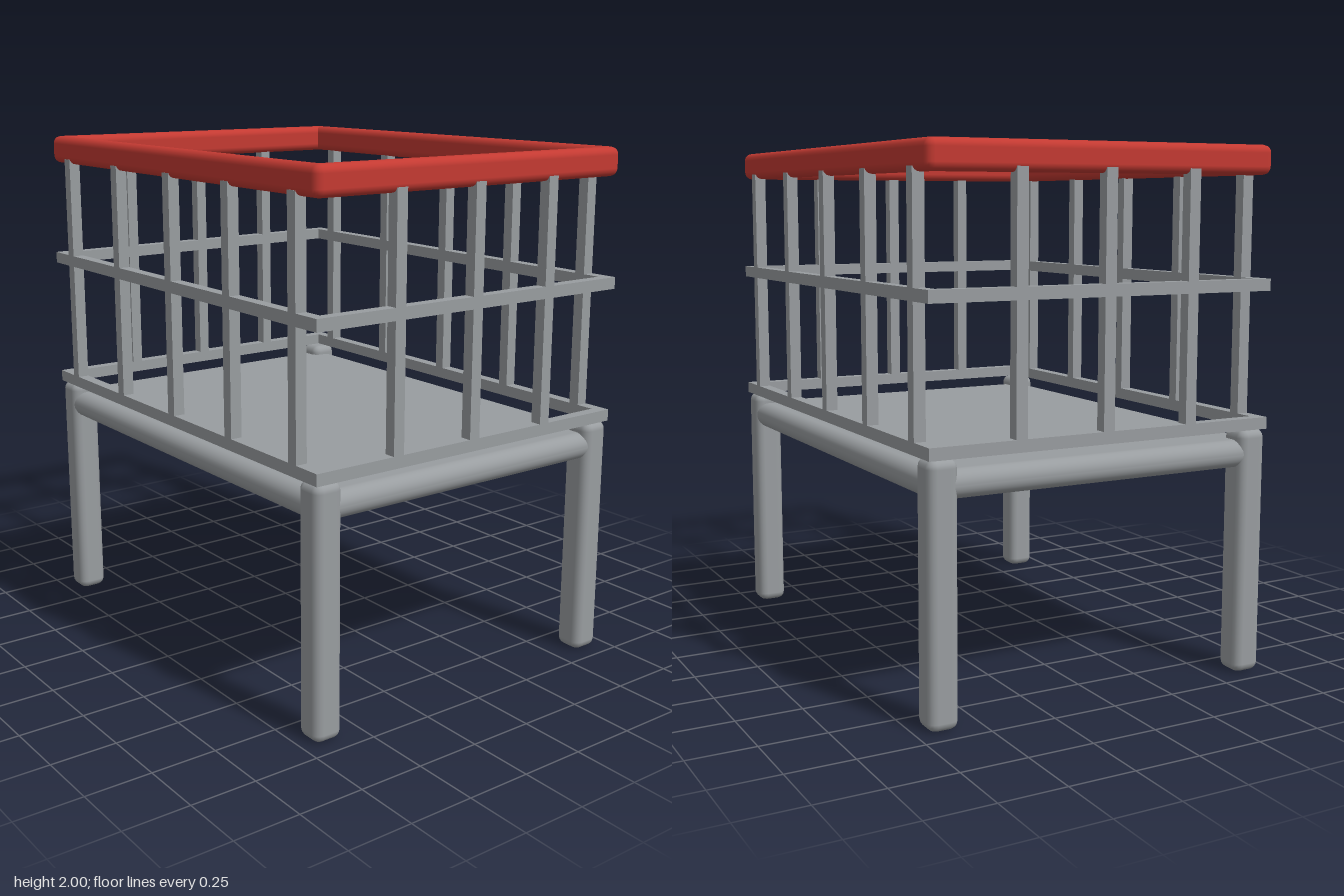
import * as THREE from 'three';
import { RoundedBoxGeometry } from 'three/addons/geometries/RoundedBoxGeometry.js';

const HX = 0.94, HZ = 0.705; // outer half sizes
const BAR = 0.045;           // cage bar thickness

export function createModel() {
  const steel = new THREE.MeshStandardMaterial({ color: 0x999da0 });
  steel.name = 'grey steel';
  const red = new THREE.MeshStandardMaterial({ color: 0xc43a32 });
  red.name = 'red rim';

  const model = new THREE.Group();
  model.name = 'basketStand';

  const group = (name) => {
    const g = new THREE.Group();
    g.name = name;
    model.add(g);
    return g;
  };
  const add = (parent, name, geometry, material, x, y, z) => {
    const mesh = new THREE.Mesh(geometry, material);
    mesh.name = name;
    mesh.position.set(x, y, z);
    parent.add(mesh);
  };
  const box = (w, h, d, r = 0) =>
    r ? new RoundedBoxGeometry(w, h, d, 2, r) : new THREE.BoxGeometry(w, h, d);

  // Four bars running round the outer edge
  const ring = (name, y, width, height, radius, material) => {
    const g = group(name);
    for (const s of [-1, 1]) {
      add(g, 'longBar', box(2 * HX, height, width, radius), material, 0, y, s * (HZ - width / 2));
      add(g, 'shortBar', box(width, height, 2 * HZ, radius), material, s * (HX - width / 2), y, 0);
    }
  };

  // Legs
  const legs = group('legs');
  const legGeo = box(0.115, 0.945, 0.115, 0.032);
  for (const sx of [-1, 1])
    for (const sz of [-1, 1])
      add(legs, 'leg', legGeo, steel, sx * (HX - 0.0575), 0.4725, sz * (HZ - 0.0575));

  // Floor slab with round edges
  add(model, 'floor', new RoundedBoxGeometry(1.87, 0.105, 1.4, 4, 0.05), steel, 0, 0.8525, 0);

  // Cage rings and top rim
  ring('bottomRing', 0.9675, BAR, BAR, 0, steel);
  ring('middleRing', 1.4875, BAR, BAR, 0, steel);
  ring('topRim', 1.945, 0.065, 0.11, 0.03, red);

  // Upright cage bars
  const uprights = group('uprights');
  const barGeo = box(BAR, 0.96, BAR);
  for (const s of [-1, 1]) {
    for (const x of [-0.8, -0.4, 0, 0.4, 0.8])
      add(uprights, 'longSideUpright', barGeo, steel, x, 1.43, s * (HZ - BAR / 2));
    for (const z of [-0.353, 0, 0.353])
      add(uprights, 'shortSideUpright', barGeo, steel, s * (HX - BAR / 2), 1.43, z);
  }

  return model;
}
